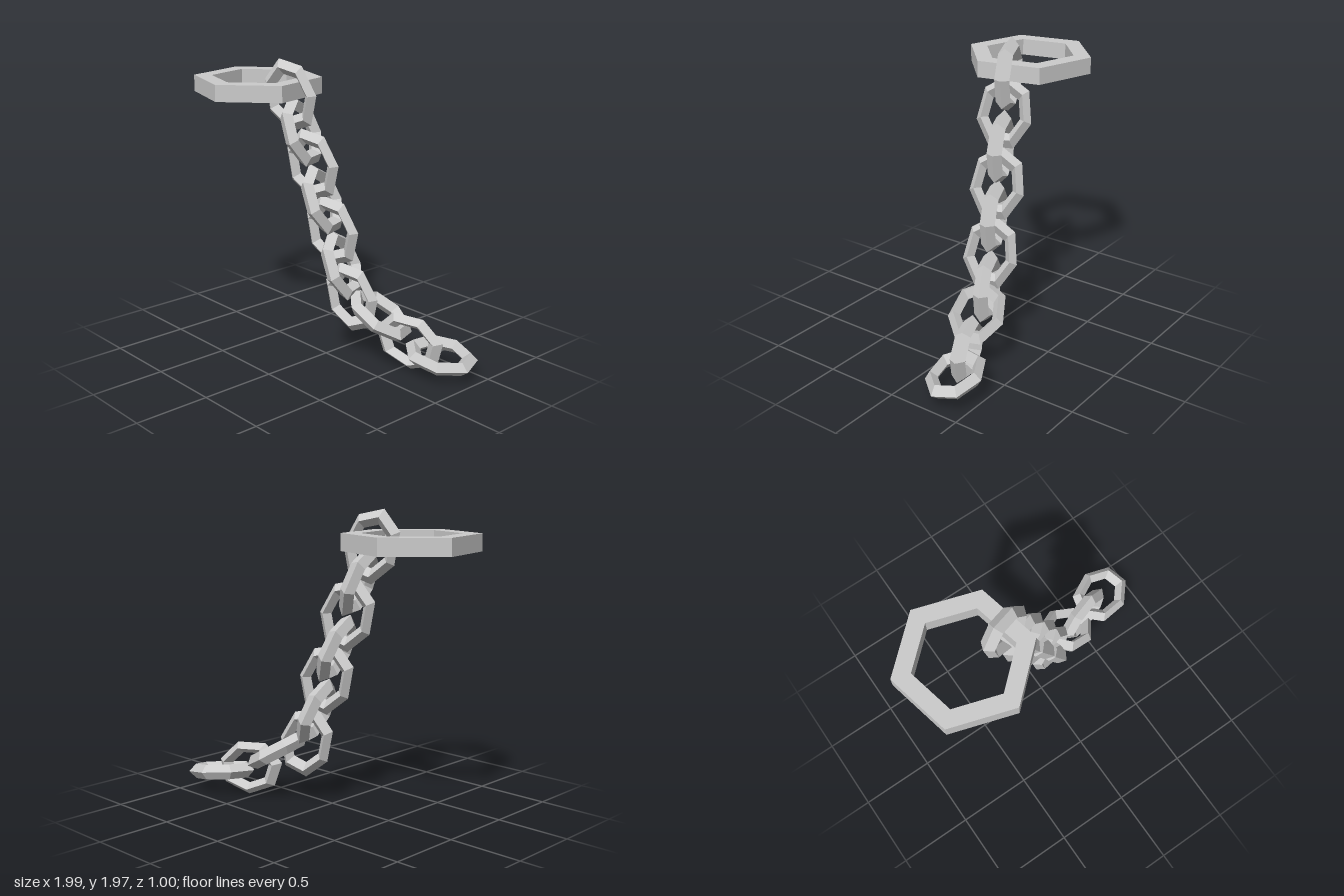
import * as THREE from 'three';

const DEG = Math.PI / 180;

export function createModel() {
  const group = new THREE.Group();
  group.name = 'brokenChain';
  const material = new THREE.MeshStandardMaterial({ color: 0xcccccc, flatShading: true });

  // Flat six-sided ring with a rectangular section
  const section = [[0.43, -0.055], [0.43, 0.055], [0.31, 0.055], [0.31, -0.055], [0.43, -0.055]]
    .map(([r, y]) => new THREE.Vector2(r, y));
  const ring = new THREE.Mesh(new THREE.LatheGeometry(section, 6, 12.4 * DEG), material);
  ring.name = 'endRing';
  ring.position.set(-0.59, 1.77, 0.08);
  group.add(ring);

  // One link: a seven-sided ring with a diamond section, narrowed across
  const linkGeometry = new THREE.TorusGeometry(0.197, 0.053, 4, 7);
  linkGeometry.scale(1, 0.76, 0.95);

  // The chain hangs in one upright plane; every second link is turned a quarter
  const along = new THREE.Vector3(0.947, 0, -0.322).normalize();
  const across = new THREE.Vector3(0.322, 0, 0.947).normalize();
  const up = new THREE.Vector3(0, 1, 0);

  // x, y, downward pitch and roll in degrees, from the ring to the free end
  const links = [
    [-0.295, 1.73, 70, 0],
    [-0.217, 1.5, 69, 0],
    [-0.14, 1.285, 70, 0],
    [-0.07, 1.06, 67, 0],
    [0.0, 0.855, 70, 0],
    [0.07, 0.63, 67, 0],
    [0.14, 0.415, 69, 0],
    [0.34, 0.335, 30, 0],
    [0.545, 0.19, 13, 0],
    [0.755, 0.138, 7, 9],
  ];
  links.forEach(([x, y, pitch, roll], i) => {
    const a = pitch * DEG;
    const dir = along.clone().multiplyScalar(Math.cos(a)).addScaledVector(up, -Math.sin(a));
    const xAxis = dir.clone().negate();
    const yAxis = i % 2 ? across.clone() : new THREE.Vector3().crossVectors(across, xAxis);
    yAxis.applyAxisAngle(dir, roll * DEG);
    const zAxis = new THREE.Vector3().crossVectors(xAxis, yAxis);

    const link = new THREE.Mesh(linkGeometry, material);
    link.name = `chainLink${i + 1}`;
    link.quaternion.setFromRotationMatrix(new THREE.Matrix4().makeBasis(xAxis, yAxis, zAxis));
    link.position.set(x, y, -0.055 - 0.34 * x);
    group.add(link);
  });

  return group;
}
